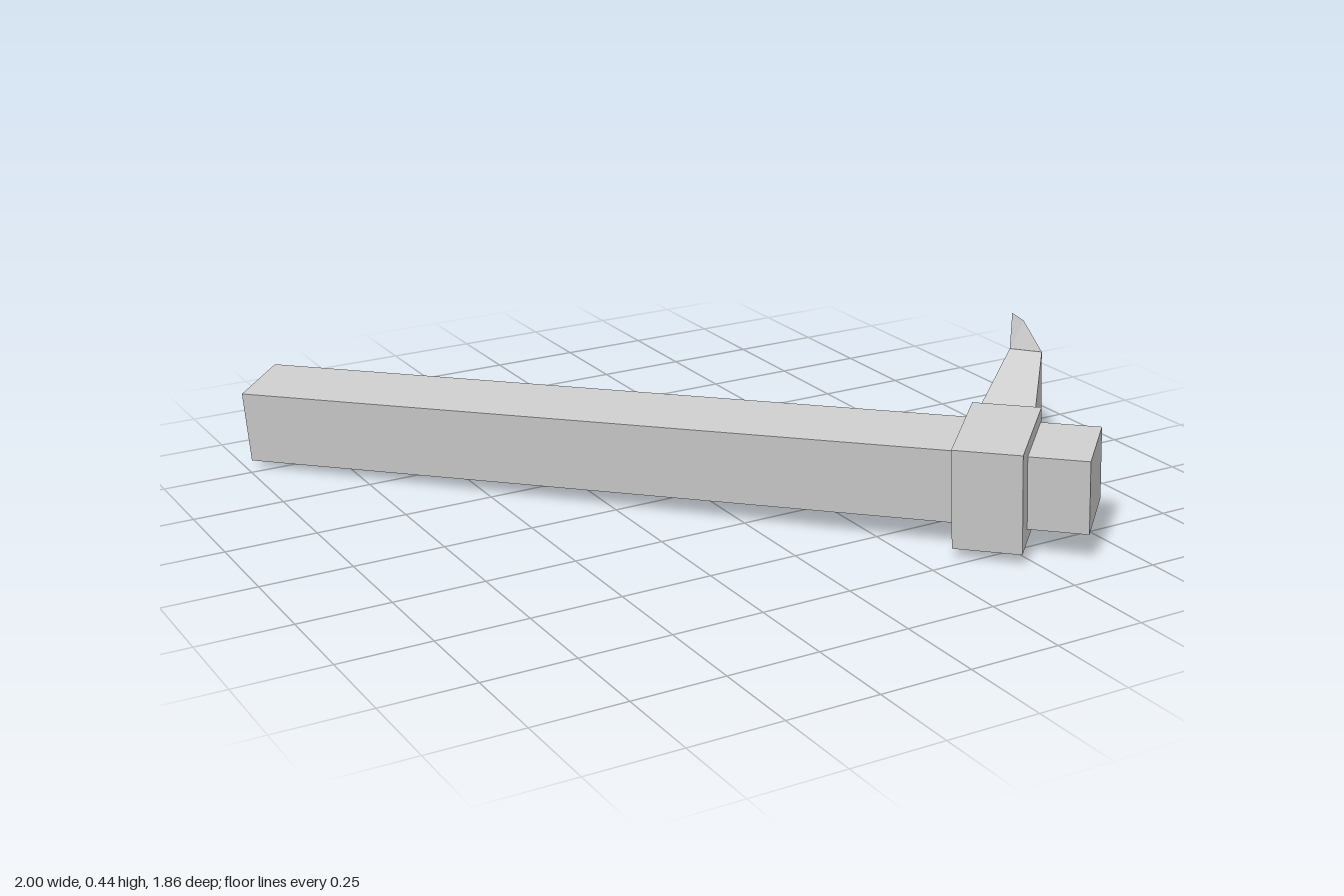
import * as THREE from 'three';

const grey = new THREE.MeshStandardMaterial({ color: 0xcccccc });
grey.name = 'plain grey';

// Faceted solid through a series of four-cornered cross-sections
function loftQuads(sections) {
  const index = [];
  const quad = (a, b, c, d) => index.push(a, b, c, a, c, d);
  for (let s = 0; s < sections.length - 1; s++) {
    for (let i = 0; i < 4; i++) {
      const j = (i + 1) % 4;
      quad(s * 4 + i, s * 4 + j, s * 4 + 4 + j, s * 4 + 4 + i);
    }
  }
  const e = (sections.length - 1) * 4;
  quad(3, 2, 1, 0);
  quad(e, e + 1, e + 2, e + 3);
  const indexed = new THREE.BufferGeometry();
  indexed.setAttribute('position', new THREE.Float32BufferAttribute(sections.flat(2), 3));
  indexed.setIndex(index);
  const geometry = indexed.toNonIndexed();
  geometry.computeVertexNormals();
  return geometry;
}

export function createModel() {
  const model = new THREE.Group();
  model.name = 'hoe';

  // Tilted frame: local z runs along the handle, local x points to the blade
  const along = new THREE.Vector3(0.683, 0.026, 0.73).normalize();
  const across = new THREE.Vector3(0.725, 0.1, -0.682);
  across.addScaledVector(along, -across.dot(along)).normalize();
  const up = new THREE.Vector3().crossVectors(along, across);
  const shaft = new THREE.Group();
  shaft.name = 'shaft';
  shaft.quaternion.setFromRotationMatrix(new THREE.Matrix4().makeBasis(across, up, along));
  shaft.position.set(-0.119, 0.163, -0.007);
  model.add(shaft);

  const addBox = (name, w, h, d, x, z) => {
    const box = new THREE.Mesh(new THREE.BoxGeometry(w, h, d), grey);
    box.name = name;
    box.position.set(x, 0, z);
    shaft.add(box);
  };
  addBox('handle', 0.205, 0.205, 2.336, 0, 0);
  addBox('collar', 0.288, 0.278, 0.18, -0.029, 0.921);

  // Blade: neck, wide knee, tip; corners go outer top, outer bottom, inner bottom, inner top
  const blade = new THREE.Mesh(loftQuads([
    [[0.63, 0.33, 0.65], [0.66, 0.07, 0.642], [0.575, 0.06, 0.525], [0.54, 0.33, 0.54]],
    [[0.73, 0.44, 0.54], [0.775, 0.003, 0.515], [0.72, 0.003, 0.455], [0.675, 0.44, 0.475]],
    [[0.97, 0.383, 0.157], [0.99, 0.163, 0.148], [1.0, 0.16, 0.08], [0.977, 0.388, 0.095]],
  ]), grey);
  blade.name = 'blade';
  model.add(blade);

  return model;
}
